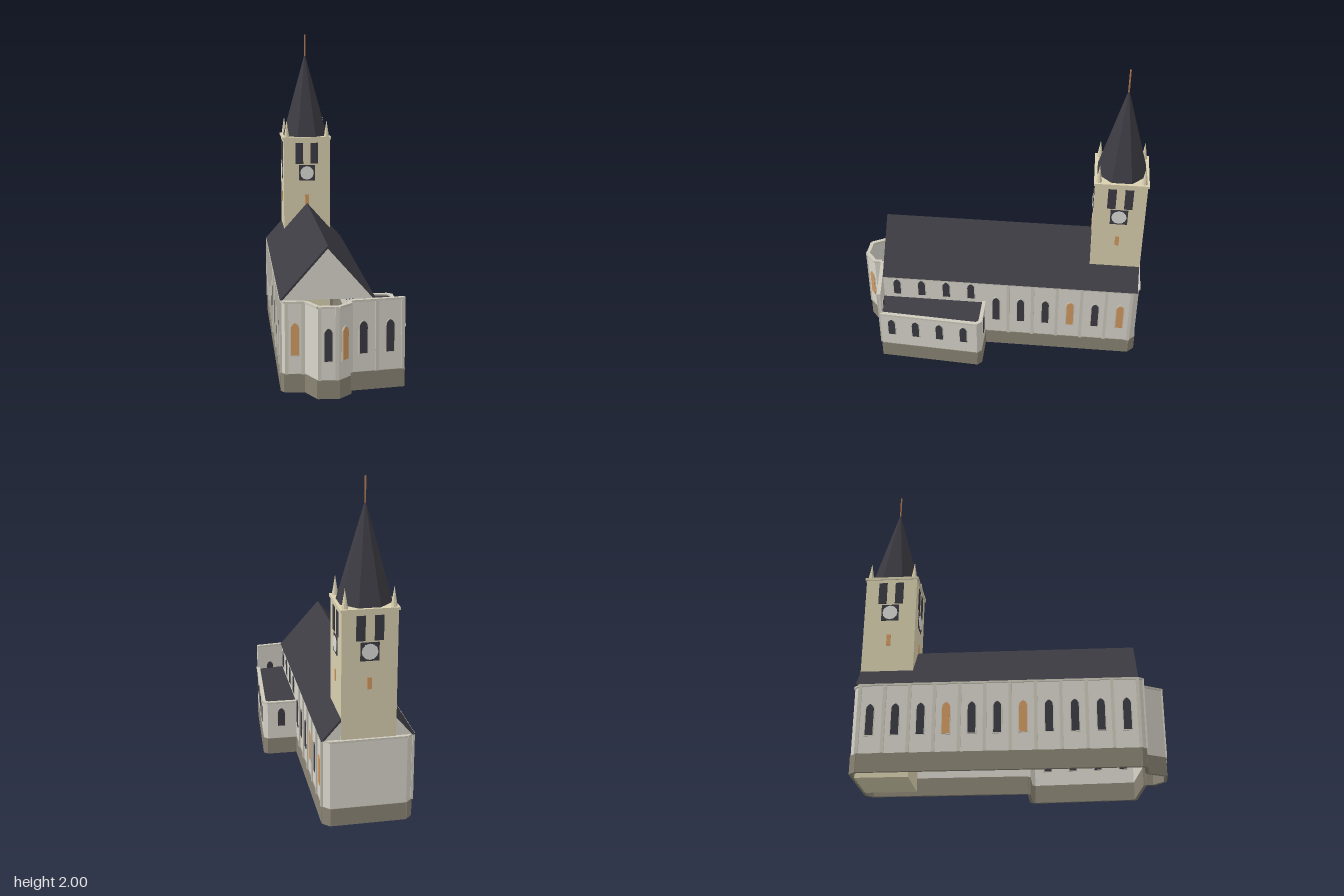
import * as THREE from 'three';

const mat = (name, color, side = THREE.FrontSide) => {
  const m = new THREE.MeshStandardMaterial({ color, side });
  m.name = name;
  return m;
};

export function createModel() {
  const M = {
    wall: mat('plaster', 0xd9d6cc),
    trim: mat('trim', 0xcdc9bc),
    base: mat('plinth stone', 0x8b8575),
    roof: mat('slate', 0x3d3c43, THREE.DoubleSide),
    glass: mat('dark glass', 0x3b3b44),
    amber: mat('amber glass', 0xd39a60),
    tower: mat('tower stone', 0xd9d0b0),
    dial: mat('clock dial', 0xdcdcd8),
    pole: mat('copper pole', 0xb07850),
  };
  const church = new THREE.Group();
  church.name = 'church';

  const add = (parent, name, geo, material, x = 0, y = 0, z = 0) => {
    const mesh = new THREE.Mesh(geo, material);
    mesh.name = name;
    mesh.position.set(x, y, z);
    parent.add(mesh);
    return mesh;
  };
  const box = (parent, name, material, x, y, z, w, h, d) =>
    add(parent, name, new THREE.BoxGeometry(w, h, d), material, x, y, z);
  const polygon = (pts) => new THREE.Shape(pts.map(([x, y]) => new THREE.Vector2(x, y)));
  const extrude = (shape, depth, curveSegments = 4) =>
    new THREE.ExtrudeGeometry(shape, { depth, bevelEnabled: false, curveSegments });

  // Pointed-arch outline standing on y = 0
  const arch = (w, h) => {
    const s = new THREE.Shape();
    s.moveTo(-w / 2, 0);
    s.lineTo(w / 2, 0);
    s.lineTo(w / 2, h - w * 0.75);
    s.quadraticCurveTo(w / 2, h - w * 0.25, 0, h);
    s.quadraticCurveTo(-w / 2, h - w * 0.25, -w / 2, h - w * 0.75);
    return s;
  };

  // Wall from plan point a to b, outward side on its own +z.
  // windows: distances along the wall; amber: indexes of lit windows
  function wall(name, a, b, o = {}) {
    const { bottom = 0, top = 0.535, windows = [], amber = [], sill = 0.22, head = 0.41, width = 0.045, piers = [] } = o;
    const dx = b[0] - a[0], dz = b[1] - a[1], len = Math.hypot(dx, dz);
    const g = new THREE.Group();
    g.name = name;
    g.position.set(a[0], 0, a[1]);
    g.rotation.y = Math.atan2(-dz, dx);
    church.add(g);
    const foot = Math.max(bottom, 0.11);
    if (bottom < 0.11) box(g, 'plinth', M.base, len / 2, 0.055, -0.005, len, 0.11, 0.018);
    box(g, 'wallFace', M.wall, len / 2, (foot + top) / 2, -0.007, len, top - foot, 0.014);
    box(g, 'coping', M.trim, len / 2, top - 0.005, -0.004, len, 0.012, 0.024);
    for (const p of piers) box(g, 'pier', M.trim, p, (foot + top) / 2, 0.003, 0.02, top - foot, 0.014);
    windows.forEach((p, i) => {
      add(g, 'windowFrame', extrude(arch(width + 0.012, head - sill + 0.012), 0.022), M.trim, p, sill - 0.006, -0.018);
      add(g, 'windowPane', extrude(arch(width, head - sill), 0.028), amber.includes(i) ? M.amber : M.glass, p, sill, -0.021);
    });
  }
  const series = (n, start, step) => Array.from({ length: n }, (_, i) => start + i * step);

  // Nave side walls
  wall('leftWall', [-0.33, -0.86], [-0.33, 0.765], {
    windows: series(11, 0.066, 0.149), amber: [3, 6], piers: series(12, 0.0, 0.1475),
  });
  wall('rightWall', [0.2, 0.1], [0.2, -0.86], {
    windows: series(6, 0.075, 0.163), amber: [3, 5], piers: series(6, 0.156, 0.16),
  });
  wall('clerestory', [0.2, 0.77], [0.2, 0.1], {
    bottom: 0.35, windows: series(4, 0.09, 0.163), sill: 0.395, head: 0.515,
  });

  // Back wall with clipped corners
  wall('backCornerRight', [0.2, -0.86], [0.16, -0.9]);
  wall('backWall', [0.16, -0.9], [-0.29, -0.9]);
  wall('backCornerLeft', [-0.29, -0.9], [-0.33, -0.86]);

  // Front wall, many-sided apse and annex facade
  const front = [[-0.33, 0.765], [-0.31, 0.793], [-0.196, 0.801], [-0.134, 0.913], [-0.016, 0.92],
    [0.058, 0.854], [0.054, 0.806], [0.381, 0.767]];
  wall('frontCorner', front[0], front[1]);
  wall('frontWall', front[1], front[2], { windows: [0.057], amber: [0], piers: [0.01, 0.104] });
  wall('apseLeft', front[2], front[3]);
  wall('apseFront', front[3], front[4], { windows: [0.059], piers: [0.01, 0.108] });
  wall('apseRight', front[4], front[5], { windows: [0.05], amber: [0] });
  wall('apseReturn', front[5], front[6]);
  wall('annexFront', front[6], front[7], { windows: [0.085, 0.243], piers: [0.01, 0.165, 0.319] });

  // Low side annex
  const low = { top: 0.37, sill: 0.2, head: 0.325 };
  wall('annexSide', front[7], [0.417, 0.129], { ...low, windows: series(4, 0.073, 0.159) });
  wall('annexCorner', [0.417, 0.129], [0.392, 0.104], low);
  wall('annexBack', [0.392, 0.104], [0.2, 0.1], { ...low, windows: [0.09] });

  // Flat roof behind the apse and annex parapets
  const flat = [...front.slice(2), [0.417, 0.129], [0.392, 0.104], [0.2, 0.1], [0.2, 0.78], [-0.19, 0.78]];
  const flatGeo = new THREE.ShapeGeometry(polygon(flat.map(([x, z]) => [x, -z])));
  flatGeo.rotateX(-Math.PI / 2);
  add(church, 'flatRoof', flatGeo, M.roof, 0, 0.36, 0);

  // Pitched nave roof and gables
  const cx = -0.063;
  const chevron = polygon([[-0.274, 0.535], [-0.258, 0.535], [0, 0.828], [0.258, 0.535], [0.274, 0.535], [0, 0.845]]);
  add(church, 'naveRoof', extrude(chevron, 1.66), M.roof, cx, 0, -0.89);
  const gable = polygon([[-0.26, 0.533], [0.26, 0.533], [0, 0.83]]);
  for (const z of [-0.885, 0.753]) add(church, 'gable', extrude(gable, 0.012), M.wall, cx, 0, z);

  // Tower
  const tower = new THREE.Group();
  tower.name = 'tower';
  tower.position.set(cx, 0, -0.732);
  church.add(tower);
  box(tower, 'towerBody', M.tower, 0, 0.645, 0, 0.32, 1.29, 0.32);
  box(tower, 'towerCornice', M.tower, 0, 1.297, 0, 0.336, 0.016, 0.336);

  // Louvres, clock and slit window on each face
  for (let i = 0; i < 4; i++) {
    const face = new THREE.Group();
    face.name = 'towerFace';
    face.rotation.y = i * Math.PI / 2;
    tower.add(face);
    for (const s of [-1, 1]) box(face, 'louvre', M.glass, s * 0.052, 1.193, 0.161, 0.052, 0.145, 0.006);
    box(face, 'clockPanel', M.glass, 0, 1.057, 0.161, 0.108, 0.108, 0.006);
    const dial = new THREE.CylinderGeometry(0.047, 0.047, 0.006, 12);
    dial.rotateX(Math.PI / 2);
    add(face, 'clockDial', dial, M.dial, 0, 1.057, 0.164);
    box(face, 'slitWindow', M.amber, 0, 0.87, 0.161, 0.026, 0.07, 0.006);
  }

  // Eight-sided spire with pole, and corner pinnacles
  const cone = (name, r, h, n, material, x, y, z) => {
    const geo = new THREE.ConeGeometry(r, h, n).toNonIndexed();
    geo.rotateY(Math.PI / 8);
    geo.computeVertexNormals();
    return add(tower, name, geo, material, x, y + h / 2, z);
  };
  cone('spire', 0.162, 0.568, 8, M.roof, 0, 1.304, 0);
  add(tower, 'spirePole', new THREE.CylinderGeometry(0.005, 0.005, 0.15, 8), M.pole, 0, 1.925, 0);
  for (const x of [-0.138, 0.138]) for (const z of [-0.138, 0.138]) {
    cone('pinnacle', 0.019, 0.117, 8, M.tower, x, 1.304, z);
  }

  // The building stands askew in plan
  church.rotation.y = 0.431;
  const model = new THREE.Group();
  model.name = 'model';
  model.add(church);
  return model;
}
